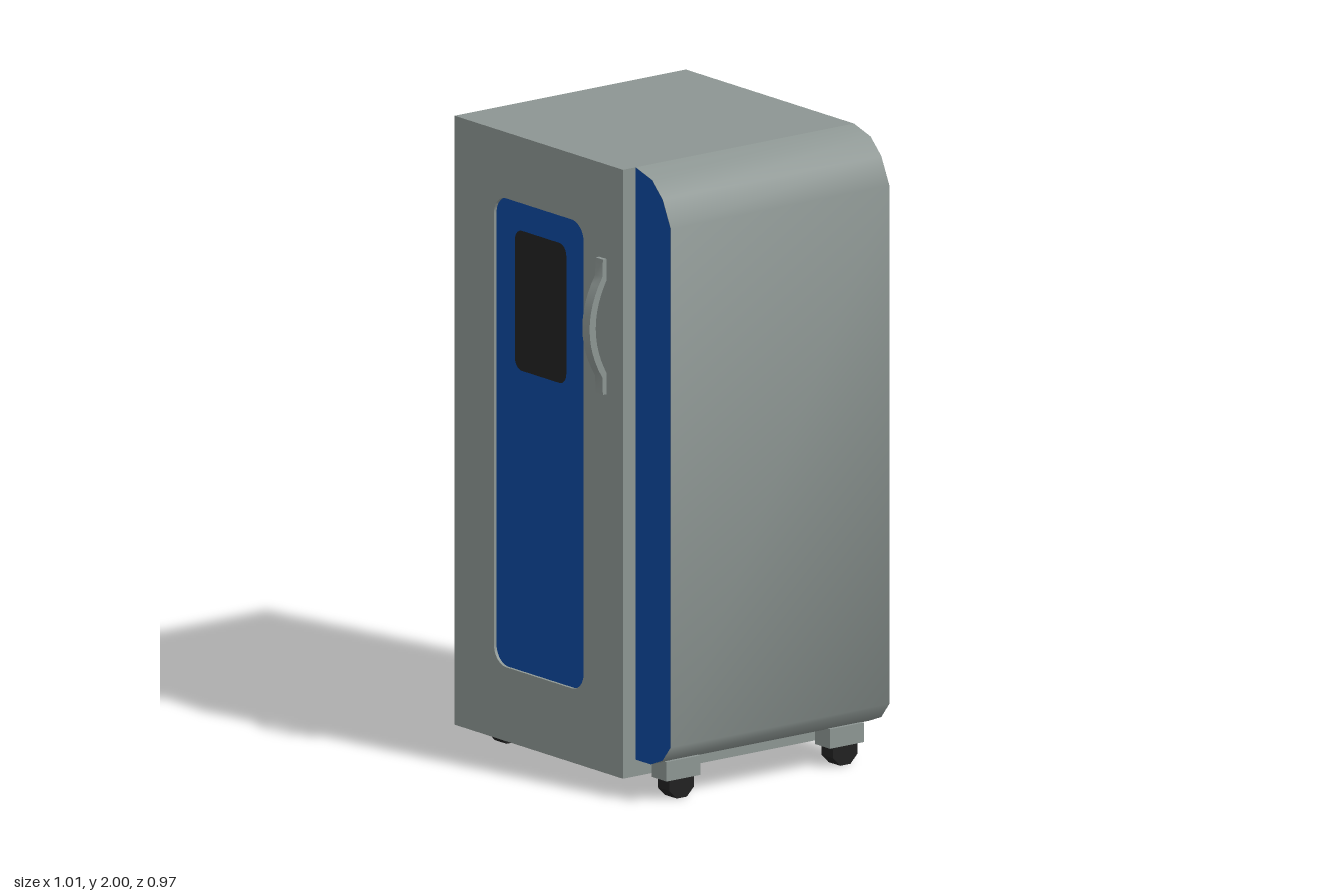
import * as THREE from 'three';
import { toCreasedNormals } from 'three/addons/utils/BufferGeometryUtils.js';

const mat = (name, color) => {
  const m = new THREE.MeshStandardMaterial({ color });
  m.name = name;
  return m;
};

// Rectangle with rounded corners, drawn into a Shape or Path
function roundedRect(p, x0, y0, x1, y1, r) {
  p.moveTo(x0 + r, y0);
  p.lineTo(x1 - r, y0);
  p.absarc(x1 - r, y0 + r, r, -Math.PI / 2, 0);
  p.lineTo(x1, y1 - r);
  p.absarc(x1 - r, y1 - r, r, 0, Math.PI / 2);
  p.lineTo(x0 + r, y1);
  p.absarc(x0 + r, y1 - r, r, Math.PI / 2, Math.PI);
  p.lineTo(x0, y0 + r);
  p.absarc(x0 + r, y0 + r, r, Math.PI, Math.PI * 1.5);
  return p;
}

export function createModel() {
  const group = new THREE.Group();
  const grey = mat('grey metal', 0x8c9592);
  const blue = mat('blue panel', 0x0d479e);
  const black = mat('black', 0x212121);

  const add = (name, geometry, material) => {
    const mesh = new THREE.Mesh(geometry, material);
    mesh.name = name;
    group.add(mesh);
    return mesh;
  };
  const box = (name, x0, x1, y0, y1, z0, z1, material) =>
    add(name, new THREE.BoxGeometry(x1 - x0, y1 - y0, z1 - z0)
      .translate((x0 + x1) / 2, (y0 + y1) / 2, (z0 + z1) / 2), material);

  const back = -0.485, front = 0.42, recess = 0.012;

  // Main cabinet
  box('cabinet', -0.505, 0.33, 0.065, 2, back, front - recess, grey);

  // Door frame with a rounded opening
  const frame = new THREE.Shape([[-0.505, 0.065], [0.33, 0.065], [0.33, 2], [-0.505, 2]]
    .map(([x, y]) => new THREE.Vector2(x, y)));
  frame.holes.push(roundedRect(new THREE.Path(), -0.31, 0.3, 0.135, 1.79, 0.06));
  add('doorFrame', toCreasedNormals(
    new THREE.ExtrudeGeometry(frame, { depth: recess, bevelEnabled: false, curveSegments: 6 })
      .translate(0, 0, front - recess), 0.6), grey);

  // Recessed door panel and window
  const plate = (shape, z) => new THREE.ShapeGeometry(shape, 6).translate(0, 0, z);
  add('doorPanel', plate(roundedRect(new THREE.Shape(), -0.31, 0.3, 0.135, 1.79, 0.06),
    front - recess + 0.002), blue);
  add('window', plate(roundedRect(new THREE.Shape(), -0.215, 1.255, 0.04, 1.7, 0.035),
    front - recess + 0.005), black);

  // Side compartment with rounded outer edges and a blue front
  const side = new THREE.Shape([
    [0.33, 0.118], [0.405, 0.118], [0.465, 0.142], [0.505, 0.192],
    [0.505, 1.84], [0.465, 1.925], [0.412, 1.976], [0.33, 2],
  ].map(([x, y]) => new THREE.Vector2(x, y)));
  add('sideCompartment', toCreasedNormals(
    new THREE.ExtrudeGeometry(side, { depth: 0.37 - back, bevelEnabled: false })
      .translate(0, 0, back), 0.8), grey);
  add('sideFront', plate(side, 0.371), blue);

  // Bowed handle: outline in depth and height, extruded across its width
  const outer = [], inner = [];
  for (let i = 0; i <= 12; i++) {
    const t = i / 12 * 2 - 1;
    const y = 1.485 + t * 0.16;
    const bow = 0.05 * (1 - t * t);
    outer.push(new THREE.Vector2(0.436 + bow, y));
    inner.push(new THREE.Vector2(0.412 + bow, y));
  }
  const handle = new THREE.Shape([
    new THREE.Vector2(0.415, 1.27), new THREE.Vector2(0.434, 1.27),
    ...outer,
    new THREE.Vector2(0.434, 1.7), new THREE.Vector2(0.415, 1.7),
    ...inner.reverse(),
  ]);
  add('handle', toCreasedNormals(
    new THREE.ExtrudeGeometry(handle, { depth: 0.036, bevelEnabled: false })
      .rotateY(-Math.PI / 2).translate(0.248, 0, 0), 0.6), grey);

  // Casters, with mounting brackets under the raised side compartment
  for (const z of [0.265, -0.375]) {
    for (const x of [-0.447, 0.397]) {
      const wheel = toCreasedNormals(
        new THREE.CylinderGeometry(0.052, 0.052, 0.058, 8)
          .rotateY(Math.PI / 8).rotateZ(Math.PI / 2), 0.5);
      add('wheel', wheel, black).position.set(x, 0.048, z);
    }
    box('casterBracket', 0.36, 0.434, 0.063, 0.125, z - 0.066, z + 0.066, grey);
  }
  return group;
}
